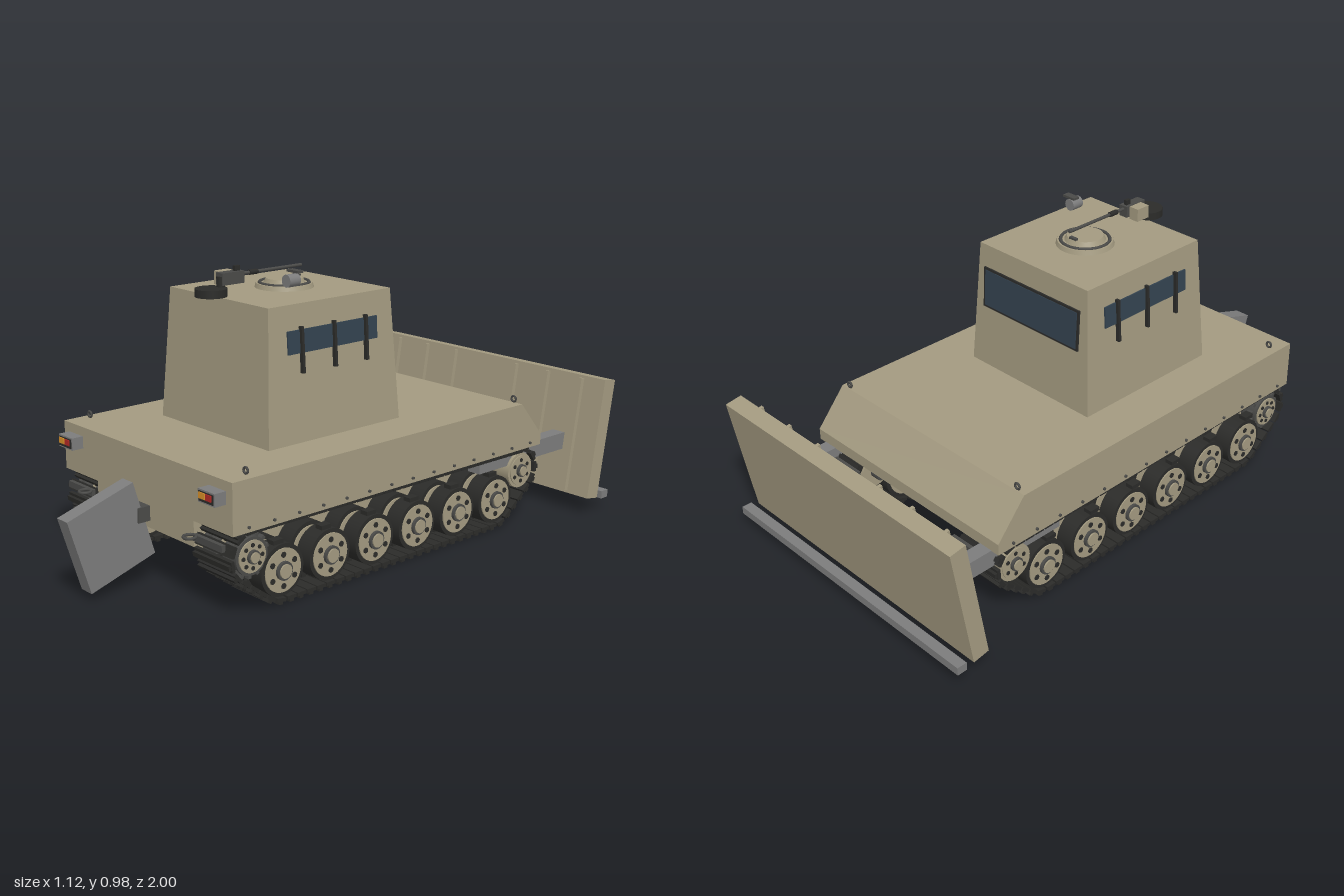
import * as THREE from 'three';
import { mergeGeometries } from 'three/addons/utils/BufferGeometryUtils.js';

const mat = (color) => new THREE.MeshStandardMaterial({ color });

export function createModel() {
  const root = new THREE.Group();
  const tan = mat(0xa39a80), dark = mat(0x2b2b29), steel = mat(0x7c7c7c), iron = mat(0x4a4a48);
  const glass = mat(0x33424f), orange = mat(0xd9902a), red = mat(0xb32a26);

  const add = (name, geo, m, x = 0, y = 0, z = 0, parent = root) => {
    const mesh = new THREE.Mesh(geo, m);
    mesh.name = name;
    mesh.position.set(x, y, z);
    parent.add(mesh);
    return mesh;
  };
  const box = (name, w, h, d, m, x, y, z, parent) => add(name, new THREE.BoxGeometry(w, h, d), m, x, y, z, parent);
  // cylinders along each axis
  const cylY = (r, h, n = 24, r2 = r) => new THREE.CylinderGeometry(r2, r, h, n);
  const cylX = (r, h, n = 24) => cylY(r, h, n).rotateZ(Math.PI / 2);
  const cylZ = (r, h, n = 24) => cylY(r, h, n).rotateX(Math.PI / 2);
  // side profile of [z, y] points extruded across the width
  const sideProfile = (pts, w) => new THREE.ExtrudeGeometry(
    new THREE.Shape(pts.map(p => new THREE.Vector2(...p))), { depth: w, bevelEnabled: false }
  ).translate(0, 0, -w / 2).rotateY(-Math.PI / 2);

  // hull
  add('upperHull', sideProfile([[0.7, 0.275], [0.7, 0.443], [-0.61, 0.443], [-0.72, 0.315], [-0.72, 0.275]], 0.9), tan);
  add('lowerHull', sideProfile([[0.7, 0.3], [0.7, 0.19], [0.6, 0.13], [-0.56, 0.13], [-0.71, 0.28], [-0.71, 0.3]], 0.52), tan);

  // cabin: box tapered towards the roof
  const cabin = new THREE.BoxGeometry(0.56, 0.447, 0.58);
  const p = cabin.attributes.position;
  for (let i = 0; i < p.count; i++) {
    if (p.getY(i) > 0) { p.setX(i, p.getX(i) * 0.9); p.setZ(i, p.getZ(i) * 0.914); }
  }
  cabin.computeVertexNormals();
  add('cabin', cabin, tan, 0, 0.6665, 0.125);

  // rear window
  const rearWindow = new THREE.Group();
  rearWindow.name = 'rearWindow';
  rearWindow.position.set(0, 0.738, -0.149);
  rearWindow.rotation.x = 0.056;
  root.add(rearWindow);
  box('rearWindowFrame', 0.45, 0.145, 0.012, dark, 0, 0, 0, rearWindow);
  box('rearWindowPane', 0.434, 0.129, 0.016, glass, 0, 0, 0, rearWindow);

  for (const s of [-1, 1]) {
    // side window with guard bars
    const win = new THREE.Group();
    win.name = 'sideWindow';
    win.position.set(s * 0.259, 0.77, 0.125);
    win.rotation.z = s * 0.063;
    root.add(win);
    box('sideWindowPane', 0.012, 0.075, 0.39, glass, 0, 0, 0, win);
    for (const z of [-0.14, 0, 0.14]) box('windowBar', 0.014, 0.15, 0.01, dark, s * 0.009, -0.027, z, win);

    // head lamp cluster
    box('lampHousing', 0.08, 0.042, 0.045, steel, s * 0.38, 0.39, 0.72);
    box('lampRim', 0.07, 0.032, 0.004, dark, s * 0.38, 0.39, 0.743);
    box('orangeLamp', 0.029, 0.02, 0.004, orange, s * 0.38 - 0.017, 0.393, 0.746);
    box('redLamp', 0.026, 0.02, 0.004, red, s * 0.38 + 0.015, 0.393, 0.746);

    // lifting eyes and tow rings at both ends
    for (const [z, ringX] of [[0.7, 0.285], [-0.715, 0.25]]) {
      const e = Math.sign(z);
      add('liftingEye', new THREE.TorusGeometry(0.01, 0.004, 6, 12), iron, s * 0.415, 0.457, e > 0 ? 0.62 : -0.605);
      add('towRing', new THREE.TorusGeometry(0.02, 0.005, 6, 16).rotateX(Math.PI / 2), iron, s * ringX, 0.24, z + e * 0.035);
      box('towBar', 0.14, 0.022, 0.014, iron, s * (ringX + 0.06), 0.23, z + e * 0.008);
    }

    // bolts along the hull skirt
    for (let i = 0; i < 14; i++) add('skirtBolt', cylX(0.005, 0.008, 8), iron, s * 0.452, 0.292, 0.64 - i * 0.1);

    // arm carrying the blade
    box('bladeArm', 0.053, 0.062, 0.47, steel, s * 0.392, 0.246, -0.665);
  }

  // roof hatch
  add('hatchRing', cylY(0.1, 0.016, 32, 0.095), tan, 0, 0.897, 0.105);
  add('hatchLid', cylY(0.072, 0.02, 32, 0.062), tan, 0, 0.911, 0.105);
  add('hatchSeal', new THREE.TorusGeometry(0.083, 0.006, 6, 32).rotateX(Math.PI / 2), iron, 0, 0.905, 0.105);
  box('hatchHandle', 0.03, 0.008, 0.012, iron, 0, 0.924, 0.05);

  // roof gun on its mount
  add('mountDisc', cylY(0.053, 0.026, 24), dark, 0, 0.909, 0.415);
  add('mountPost', cylY(0.014, 0.05, 12), dark, 0, 0.93, 0.375);
  box('gunBody', 0.034, 0.04, 0.09, iron, 0, 0.947, 0.335);
  box('gunSight', 0.012, 0.02, 0.02, dark, 0, 0.974, 0.31);
  box('ammoBox', 0.038, 0.045, 0.055, tan, -0.037, 0.943, 0.33);
  add('gunBarrel', cylZ(0.0055, 0.27, 10), iron, 0, 0.955, 0.165);
  add('gunMuzzle', cylZ(0.009, 0.035, 10), dark, 0, 0.955, 0.24);

  // roof lamp with a small visor
  add('roofLamp', cylZ(0.021, 0.045, 20), steel, 0.167, 0.946, 0.22);
  box('roofLampVisor', 0.052, 0.008, 0.025, iron, 0.167, 0.975, 0.205);

  // front spade and its pivot
  box('frontSpade', 0.056, 0.265, 0.255, steel, 0, 0.19, 0.842).rotation.x = 0.296;
  box('spadePivot', 0.066, 0.05, 0.06, iron, 0, 0.24, 0.715);

  // rear blade with stiffening ribs and a cutting edge
  const blade = new THREE.Group();
  blade.name = 'rearBlade';
  blade.position.set(0, 0.274, -0.932);
  blade.rotation.x = -0.163;
  root.add(blade);
  box('bladePlate', 1.12, 0.44, 0.06, tan, 0, 0, 0, blade);
  for (const x of [0.155, 0.308, 0.463])
    for (const s of [-1, 1]) box('bladeRib', 0.012, 0.42, 0.018, tan, s * x, 0, 0.038, blade);
  box('cuttingEdge', 1.12, 0.028, 0.036, steel, 0, 0.056, -0.972);

  // track path: convex outline around the wheels, in z and y
  const circles = [[0.612, 0.187, 0.075], [0.49, 0.11, 0.088], [-0.503, 0.11, 0.088], [-0.636, 0.19, 0.068]];
  const pts = [];
  for (const [cz, cy, r] of circles)
    for (let i = 0; i < 60; i++) {
      const a = (i / 60) * Math.PI * 2;
      pts.push([cz + r * Math.cos(a), cy + r * Math.sin(a)]);
    }
  pts.sort((a, b) => a[0] - b[0] || a[1] - b[1]);
  const halfHull = (list) => {
    const h = [];
    for (const q of list) {
      while (h.length > 1) {
        const [a, b] = h.slice(-2);
        if ((b[0] - a[0]) * (q[1] - a[1]) - (b[1] - a[1]) * (q[0] - a[0]) > 0) break;
        h.pop();
      }
      h.push(q);
    }
    return h.slice(0, -1);
  };
  const outline = new THREE.Shape([...halfHull(pts), ...halfHull([...pts].reverse())].map(q => new THREE.Vector2(...q)));
  outline.closePath();

  // one shoe: plate, outer grouser and inner guide tooth
  const shoe = mergeGeometries([
    new THREE.BoxGeometry(0.18, 0.012, 0.036).translate(0, 0.006, 0),
    new THREE.BoxGeometry(0.176, 0.012, 0.016).translate(0, 0.016, 0),
    new THREE.BoxGeometry(0.012, 0.026, 0.016).translate(0, -0.012, 0),
  ]);
  const count = Math.round(outline.getLength() / 0.041);
  const shoes = [];
  for (let i = 0; i < count; i++) {
    const c = outline.getPointAt(i / count), t = outline.getTangentAt(i / count);
    const m = new THREE.Matrix4().makeBasis(
      new THREE.Vector3(1, 0, 0), new THREE.Vector3(0, -t.x, t.y), new THREE.Vector3(0, -t.y, -t.x));
    shoes.push(shoe.clone().applyMatrix4(m.setPosition(0, c.y, c.x)));
  }
  const trackGeo = mergeGeometries(shoes);

  // wheel with paired rims, hub cap and a ring of holes on the outside
  const addWheel = (name, s, y, z, r, rimMat, holes) => {
    const g = new THREE.Group();
    g.name = name;
    g.position.set(s * 0.35, y, z);
    root.add(g);
    add('axle', cylX(r * 0.3, 0.2, 12), iron, -s * 0.02, 0, 0, g);
    for (const x of [-0.048, 0.048]) {
      add('rim', cylX(r, 0.064, 32), rimMat, x, 0, 0, g);
      add('disc', cylX(r * 0.84, 0.072, 32), tan, x, 0, 0, g);
    }
    add('hub', cylX(r * 0.36, 0.016, 20), iron, s * 0.086, 0, 0, g);
    add('hubCap', cylX(r * 0.27, 0.024, 20), tan, s * 0.087, 0, 0, g);
    for (let i = 0; i < holes; i++) {
      const a = (i / holes) * Math.PI * 2 + Math.PI / 2;
      add('hole', cylX(r * 0.11, 0.004, 10), dark, s * 0.085, Math.sin(a) * r * 0.6, Math.cos(a) * r * 0.6, g);
    }
    return g;
  };

  for (const s of [-1, 1]) {
    add('track', trackGeo, dark, s * 0.35);
    for (let i = 0; i < 6; i++) {
      const z = 0.49 - i * 0.1986;
      addWheel('roadWheel', s, 0.11, z, 0.086, dark, 6);
      box('bumpStop', 0.03, 0.014, 0.04, dark, s * 0.42, 0.208, z + 0.02);
      box('suspensionArm', 0.03, 0.04, 0.1, iron, s * 0.262, 0.14, z + 0.03).rotation.x = 0.4;
    }
    addWheel('idler', s, 0.19, -0.636, 0.064, tan, 6);
    // toothed drive sprocket
    const sprocket = addWheel('sprocket', s, 0.187, 0.612, 0.062, iron, 8);
    for (let i = 0; i < 14; i++)
      for (const x of [-0.06, 0.06])
        box('tooth', 0.02, 0.02, 0.012, iron, x, Math.cos(i * Math.PI / 7) * 0.066, Math.sin(i * Math.PI / 7) * 0.066, sprocket)
          .rotation.x = i * Math.PI / 7;
  }
  return root;
}
